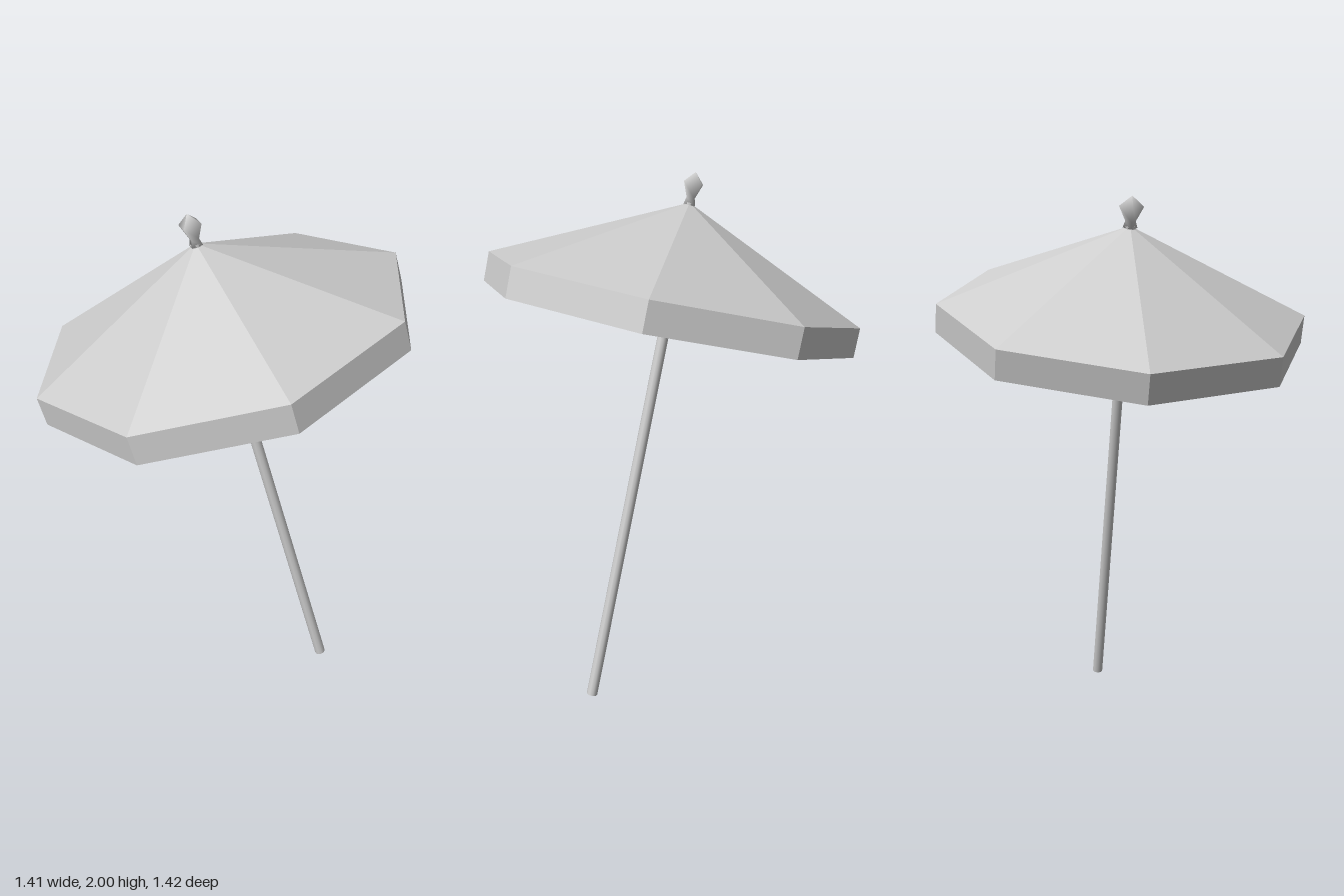
import * as THREE from 'three';

export function createModel() {
  const group = new THREE.Group();
  group.name = 'parasol';
  const smooth = new THREE.MeshStandardMaterial({ color: 0xcccccc });
  const flat = new THREE.MeshStandardMaterial({ color: 0xcccccc, flatShading: true });
  const cloth = new THREE.MeshStandardMaterial({ color: 0xcccccc, flatShading: true, side: THREE.DoubleSide });

  const SIDES = 8, RADIUS = 0.712, APEX = 1.957, RIM = 1.632, SKIRT = 0.112, HUB = 1.53;

  // everything is built upright, then leaned over around the foot of the pole
  const tilted = new THREE.Group();
  tilted.name = 'leaningParasol';
  const axis = new THREE.Vector3(-0.465, 1.98, -0.325).normalize();
  tilted.quaternion.setFromUnitVectors(new THREE.Vector3(0, 1, 0), axis)
    .multiply(new THREE.Quaternion().setFromAxisAngle(new THREE.Vector3(0, 1, 0), 0.05));
  tilted.position.set(0.355, 0.006, 0.245);
  group.add(tilted);

  const add = (name, geometry, material, y = 0) => {
    const mesh = new THREE.Mesh(geometry, material);
    mesh.name = name;
    mesh.position.y = y;
    tilted.add(mesh);
    return mesh;
  };

  // thin rod between two points
  const rod = (name, a, b, r) => {
    const dir = b.clone().sub(a);
    const mesh = add(name, new THREE.CylinderGeometry(r, r, dir.length(), 6), smooth);
    mesh.position.copy(a).add(b).multiplyScalar(0.5);
    mesh.quaternion.setFromUnitVectors(new THREE.Vector3(0, 1, 0), dir.normalize());
  };

  // pole
  add('pole', new THREE.CylinderGeometry(0.021, 0.021, APEX, 10), smooth, APEX / 2);

  // canopy and its hanging skirt
  add('canopy', new THREE.ConeGeometry(RADIUS, APEX - RIM, SIDES, 1, true), cloth, (APEX + RIM) / 2);
  add('skirt', new THREE.CylinderGeometry(RADIUS, RADIUS, SKIRT, SIDES, 1, true), cloth, RIM - SKIRT / 2);

  // finial: square-sided neck and pointed knob
  const profile = [[0, 1.945], [0.028, 1.95], [0.02, 1.975], [0.047, 2.03], [0, 2.07]]
    .map(([r, y]) => new THREE.Vector2(r, y));
  add('finial', new THREE.LatheGeometry(profile, 4), smooth).rotation.y = Math.PI / 4;

  // sliding hub
  add('hubCollar', new THREE.CylinderGeometry(0.034, 0.034, 0.05, 16), smooth, HUB - 0.01);
  add('hubFlange', new THREE.CylinderGeometry(0.05, 0.042, 0.02, 16), smooth, HUB);

  // ribs under the cloth, struts from the hub, and the hub sockets
  for (let i = 0; i < SIDES; i++) {
    const angle = (i / SIDES) * Math.PI * 2;
    const at = (r, y) => new THREE.Vector3(Math.sin(angle) * r, y, Math.cos(angle) * r);
    const onRib = (t) => at(RADIUS * t, APEX - 0.012 - (APEX - RIM) * t);
    rod('rib', onRib(0.02), onRib(0.985), 0.007);
    rod('strut', at(0.04, HUB + 0.008), onRib(0.57), 0.006);
    const socket = add('hubSocket', new THREE.BoxGeometry(0.016, 0.024, 0.022), flat);
    socket.position.copy(at(0.044, HUB + 0.008));
    socket.rotation.y = angle;
  }
  return group;
}
